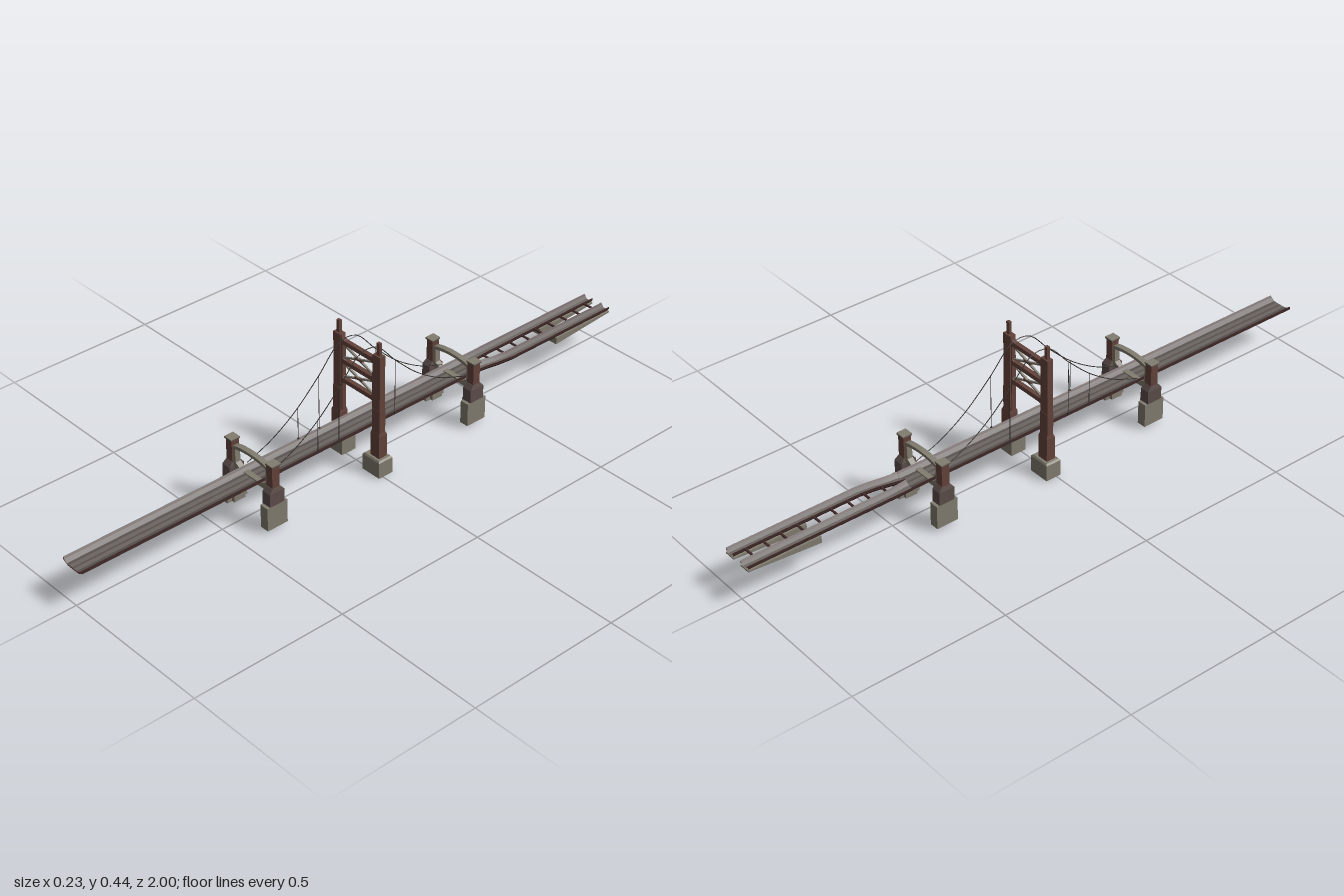
import * as THREE from 'three';

const mat = (name, color, side = THREE.FrontSide) => {
  const m = new THREE.MeshStandardMaterial({ color, side });
  m.name = name;
  return m;
};

export function createModel() {
  const model = new THREE.Group();
  model.name = 'suspensionBridge';
  const D = THREE.DoubleSide;
  const steel = mat('red brown steel', 0x64433b);
  const masonry = mat('grey brown masonry', 0x5c4d4a);
  const concrete = mat('concrete', 0x827d70);
  const asphalt = mat('asphalt', 0x59514e, D);
  const lane = mat('worn lane', 0x6c6663, D);
  const girder = mat('dark girder', 0x432a29, D);
  const cable = mat('cable', 0x36322f);

  const add = (parent, name, geo, m) => {
    const mesh = new THREE.Mesh(geo, m);
    mesh.name = name;
    parent.add(mesh);
    return mesh;
  };
  // box given by its lower and upper corners
  const box = (parent, name, m, x0, x1, y0, y1, z0, z1) => {
    const mesh = add(parent, name, new THREE.BoxGeometry(x1 - x0, y1 - y0, z1 - z0), m);
    mesh.position.set((x0 + x1) / 2, (y0 + y1) / 2, (z0 + z1) / 2);
    return mesh;
  };
  const mirrorBox = (parent, name, m, x0, x1, ...rest) => {
    box(parent, name + 'Left', m, x0, x1, ...rest);
    box(parent, name + 'Right', m, -x1, -x0, ...rest);
  };
  // four-sided block tapering upward
  const taper = (parent, name, m, x, z, y0, y1, w0, d0, w1, d1) => {
    const geo = new THREE.BoxGeometry(1, y1 - y0, 1);
    const p = geo.attributes.position;
    for (let i = 0; i < p.count; i++) {
      const top = p.getY(i) > 0;
      p.setX(i, p.getX(i) * (top ? w1 : w0));
      p.setZ(i, p.getZ(i) * (top ? d1 : d0));
    }
    geo.computeVertexNormals();
    add(parent, name, geo, m).position.set(x, (y0 + y1) / 2, z);
  };
  const extrude = (shape, depth) => {
    const geo = new THREE.ExtrudeGeometry(shape, { depth, bevelEnabled: false, curveSegments: 10 });
    return geo.translate(0, 0, -depth / 2);
  };
  const poly = (pts) => new THREE.Shape(pts.map(([x, y]) => new THREE.Vector2(x, y)));

  // strip of road between two profile points [t, y], along stations [z, xLow, xHigh]
  const strip = (parent, name, m, stations, a, b) => {
    const pos = [], idx = [];
    stations.forEach(([z, x0, x1], i) => {
      for (const [t, y] of [a, b]) pos.push(x0 + (x1 - x0) * t, y, z);
      const k = i * 2;
      if (i) idx.push(k - 2, k - 1, k, k - 1, k + 1, k);
    });
    const geo = new THREE.BufferGeometry();
    geo.setAttribute('position', new THREE.Float32BufferAttribute(pos, 3));
    geo.setIndex(idx);
    geo.computeVertexNormals();
    add(parent, name, geo, m);
  };
  const road = (name, stations, top, mats) => {
    const g = new THREE.Group();
    g.name = name;
    model.add(g);
    for (let i = 1; i < top.length; i++) strip(g, 'roadSurface', mats[i - 1], stations, top[i - 1], top[i]);
    const under = [top[0], [0, 0.129], [0.22, 0.12], [0.78, 0.12], [1, 0.129], top[top.length - 1]];
    for (let i = 1; i < under.length; i++) strip(g, 'girder', girder, stations, under[i - 1], under[i]);
  };

  // main deck and the two forked branches
  road('mainDeck', [[1, -0.044, 0.042], [-0.45, -0.044, 0.042]],
    [[0, 0.138], [0.07, 0.134], [0.2, 0.126], [0.3, 0.125], [0.46, 0.125], [0.54, 0.125], [0.7, 0.125],
      [0.8, 0.126], [0.93, 0.134], [1, 0.138]],
    [girder, asphalt, asphalt, lane, asphalt, lane, asphalt, asphalt, girder]);
  const branchTop = [[0, 0.138], [0.12, 0.133], [0.3, 0.125], [0.7, 0.125], [0.88, 0.133], [1, 0.138]];
  const branchMats = [girder, asphalt, lane, asphalt, girder];
  road('straightBranch', [[-0.45, -0.044, -0.002], [-0.52, -0.044, -0.009], [-1, -0.044, -0.01]], branchTop, branchMats);
  road('curvedBranch', [[-0.45, 0, 0.042], [-0.49, 0.01, 0.047], [-0.53, 0.02, 0.054], [-0.58, 0.026, 0.06], [-1, 0.027, 0.06]],
    branchTop, branchMats);
  for (let i = 0; i < 9; i++) {
    const z = -0.52 - i * 0.055;
    box(model, 'branchTie', girder, -0.011, i ? 0.028 : 0.019, 0.131, 0.135, z - 0.003, z + 0.003);
  }

  // wedge abutments under the branches
  for (const [x, w] of [[-0.027, 0.036], [0.043, 0.036]]) {
    const geo = extrude(poly([[-1, 0.118], [-0.765, 0.1], [-0.765, 0.122], [-1, 0.122]]), w);
    add(model, 'abutment', geo.rotateY(-Math.PI / 2), concrete).position.x = x;
  }

  // central tower
  const tower = new THREE.Group();
  tower.name = 'mainTower';
  tower.position.z = -0.011;
  model.add(tower);
  for (const s of [-1, 1]) {
    box(tower, 'footing', concrete, s * 0.0795 - 0.0355, s * 0.0795 + 0.0355, 0, 0.052, -0.026, 0.026);
    taper(tower, 'footingTop', concrete, s * 0.0795, 0, 0.052, 0.057, 0.071, 0.052, 0.062, 0.044);
    box(tower, 'lowerLeg', steel, s * 0.084 - 0.018, s * 0.084 + 0.018, 0.055, 0.132, -0.015, 0.015);
    taper(tower, 'legShoulder', steel, s * 0.083, 0, 0.132, 0.142, 0.036, 0.03, 0.032, 0.022);
    box(tower, 'middleLeg', steel, s * 0.083 - 0.016, s * 0.083 + 0.016, 0.14, 0.215, -0.011, 0.011);
    box(tower, 'upperLeg', steel, s * 0.083 - 0.015, s * 0.083 + 0.015, 0.215, 0.395, -0.01, 0.01);
    box(tower, 'innerFlange', steel, s * 0.068 - 0.005, s * 0.068 + 0.005, 0.14, 0.38, -0.007, 0.007);
    taper(tower, 'flangeTop', steel, s * 0.07, 0, 0.38, 0.395, 0.014, 0.014, 0.006, 0.014);
    box(tower, 'finial', steel, s * 0.084 - 0.006, s * 0.084 + 0.006, 0.395, 0.435, -0.005, 0.005);
  }
  for (const y of [0.237, 0.301, 0.365]) {
    const beam = poly([[-0.065, -0.003], [-0.055, 0], [0.055, 0], [0.065, -0.003],
      [0.065, 0.018], [0.055, 0.014], [-0.055, 0.014], [-0.065, 0.018]]);
    add(tower, 'crossBeam', extrude(beam, 0.014), steel).position.y = y;
  }
  for (const y of [0.276, 0.34]) {
    for (const s of [-1, 1]) {
      const brace = box(tower, 'diagonalBrace', concrete, -0.067, 0.067, y - 0.0025, y + 0.0025, -0.003, 0.003);
      brace.rotation.z = s * Math.atan2(0.044, 0.124);
    }
    const plate = poly([[-0.015, -0.006], [-0.006, -0.003], [0.006, -0.003], [0.015, -0.006],
      [0.015, 0.006], [0.006, 0.003], [-0.006, 0.003], [-0.015, 0.006]]);
    add(tower, 'bracePlate', extrude(plate, 0.009), steel).position.y = y;
  }

  // anchor piers with arched portals
  for (const z of [0.385, -0.385]) {
    const pier = new THREE.Group();
    pier.name = z > 0 ? 'frontPier' : 'backPier';
    pier.position.z = z;
    model.add(pier);
    mirrorBox(pier, 'pierBase', concrete, 0.073, 0.103, 0.01, 0.086, -0.036, 0.036);
    mirrorBox(pier, 'pierButtress', concrete, 0.062, 0.074, 0.012, 0.086, -0.02, 0.02);
    for (const s of [-1, 1]) {
      box(pier, 'pierLeg', masonry, s * 0.087 - 0.016, s * 0.087 + 0.016, 0.086, 0.128, -0.026, 0.026);
      taper(pier, 'pierShoulder', masonry, s * 0.087, 0, 0.128, 0.142, 0.032, 0.052, 0.025, 0.028);
      box(pier, 'pierColumn', steel, s * 0.0865 - 0.0125, s * 0.0865 + 0.0125, 0.14, 0.211, -0.013, 0.013);
      box(pier, 'pierCap', masonry, s * 0.0875 - 0.015, s * 0.0875 + 0.015, 0.211, 0.214, -0.016, 0.016);
      box(pier, 'capTop', concrete, s * 0.0875 - 0.015, s * 0.0875 + 0.015, 0.214, 0.217, -0.016, 0.016);
    }
    const portal = poly([[-0.075, 0.086], [-0.064, 0.086], [-0.064, 0.118], [0.064, 0.118],
      [0.064, 0.086], [0.075, 0.086], [0.075, 0.195]]);
    portal.lineTo(0.06, 0.2);
    portal.quadraticCurveTo(0, 0.211, -0.06, 0.2);
    portal.lineTo(-0.075, 0.195);
    const hole = new THREE.Path();
    hole.moveTo(-0.043, 0.129);
    hole.lineTo(-0.064, 0.143);
    hole.lineTo(-0.066, 0.187);
    hole.quadraticCurveTo(0, 0.205, 0.066, 0.187);
    hole.lineTo(0.064, 0.143);
    hole.lineTo(0.043, 0.129);
    portal.holes.push(hole);
    add(pier, 'portalArch', extrude(portal, 0.018), concrete);
  }

  // main cables and hangers
  const half = [[0.37, 0.143], [0.28, 0.178], [0.19, 0.235], [0.105, 0.312], [0.025, 0.392]];
  const hangers = [[0.182, 0.242], [0.103, 0.314], [-0.112, 0.314]];
  for (const x of [-0.043, 0.042]) {
    const pts = [...half, ...half.map(([z, y]) => [-z - 0.01, y]).reverse()];
    const curve = new THREE.CatmullRomCurve3(pts.map(([z, y]) => new THREE.Vector3(x, y, z)), false, 'centripetal');
    add(model, 'mainCable', new THREE.TubeGeometry(curve, 48, 0.0014, 5), cable);
    for (const [z, y] of hangers) {
      const geo = new THREE.CylinderGeometry(0.001, 0.001, y - 0.132, 5);
      add(model, 'hanger', geo, cable).position.set(x, (y + 0.132) / 2, z);
      box(model, 'hangerClamp', cable, x - 0.002, x + 0.002, 0.132, 0.139, z - 0.003, z + 0.003);
    }
  }
  return model;
}
